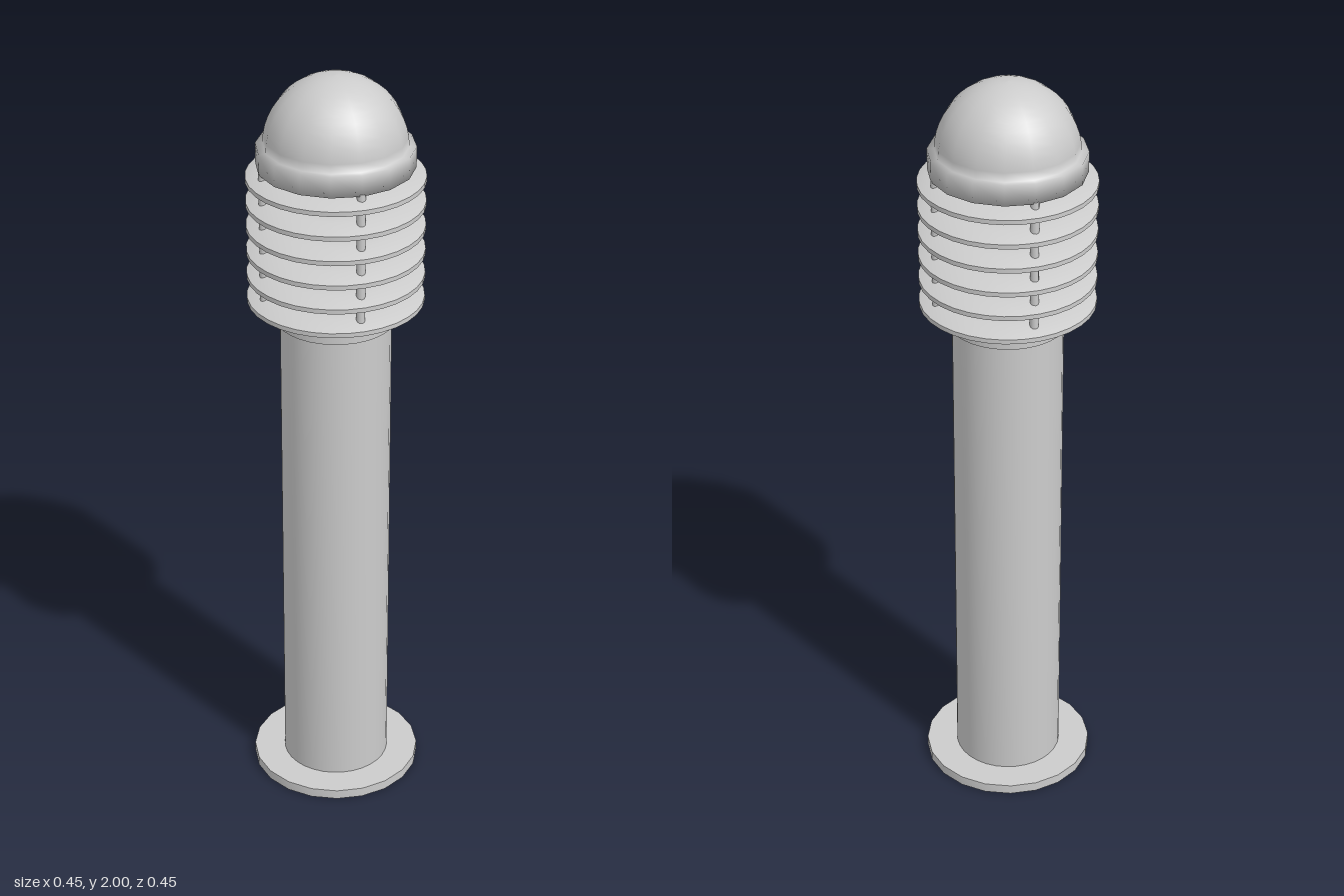
import * as THREE from 'three';
import { toCreasedNormals } from 'three/addons/utils/BufferGeometryUtils.js';

const material = new THREE.MeshStandardMaterial({ color: 0xcccccc, side: THREE.DoubleSide });

// Revolve [radius, height] points, optionally creasing the sharp edges
function turned(name, profile, sides, crease = true) {
  const points = profile.map(([r, y]) => new THREE.Vector2(r, y));
  const lathe = new THREE.LatheGeometry(points, sides);
  const mesh = new THREE.Mesh(crease ? toCreasedNormals(lathe, 0.6) : lathe, material);
  mesh.name = name;
  return mesh;
}

export function createModel() {
  const model = new THREE.Group();
  model.name = 'bollardLight';

  // Ground flange with a hole under the hollow post
  model.add(turned('baseFlange',
    [[0.14, 0], [0.223, 0], [0.223, 0.026], [0.14, 0.026]], 20));

  // Hollow post, open at the bottom, continuing up as the lamp core
  model.add(turned('post', [[0.141, 0], [0.141, 1.4]], 32));
  model.add(turned('lampCore', [[0.141, 1.4], [0.141, 1.77]], 32));
  model.add(turned('collar',
    [[0.141, 1.35], [0.152, 1.35], [0.152, 1.415], [0.141, 1.415]], 32));

  // Stack of sloping louvre rings
  const louvres = new THREE.Group();
  louvres.name = 'louvres';
  for (let i = 0; i < 6; i++) {
    const y = 1.406 + i * 0.0648;
    const ring = turned('louvre',
      [[0.141, y + 0.016], [0.223, y], [0.223, y + 0.012], [0.18, y + 0.029], [0.141, y + 0.029], [0.141, y + 0.016]], 32);
    louvres.add(ring);
  }
  model.add(louvres);

  // Four rods tying the louvres together
  for (let i = 0; i < 4; i++) {
    const a = (i * Math.PI) / 2;
    const rod = new THREE.Mesh(new THREE.CylinderGeometry(0.011, 0.011, 0.375, 10), material);
    rod.name = 'tieRod';
    rod.position.set(Math.cos(a) * 0.187, 1.583, Math.sin(a) * 0.187);
    model.add(rod);
  }

  // Cap rim blending smoothly into the dome
  const dome = [[0, 1.766], [0.197, 1.766], [0.197, 1.82], [0.179, 1.82]];
  for (let i = 1; i <= 12; i++) {
    const a = (i / 12) * Math.PI / 2;
    dome.push([Math.max(0, 0.179 * Math.cos(a)), 1.82 + 0.18 * Math.sin(a)]);
  }
  model.add(turned('domeCap', dome, 16, false));

  return model;
}
